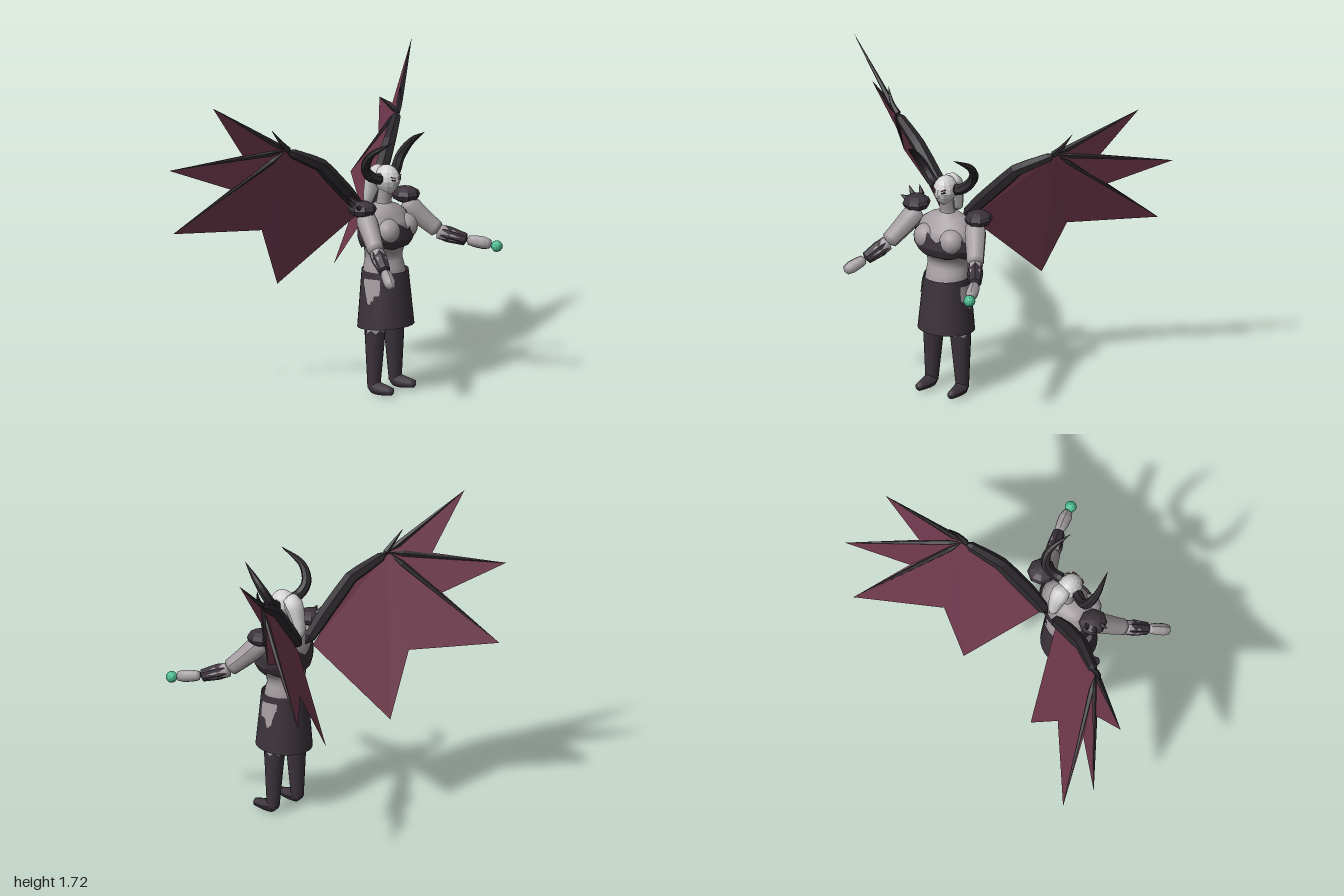
import * as THREE from 'three';
import { ParametricGeometry } from 'three/addons/geometries/ParametricGeometry.js';

const V = (x, y, z) => new THREE.Vector3(x, y, z);
const mat = (name, color, side = THREE.FrontSide) => {
  const m = new THREE.MeshStandardMaterial({ color, side });
  m.name = name;
  return m;
};

// One face, one normal
function flat(g) {
  const f = g.index ? g.toNonIndexed() : g;
  f.computeVertexNormals();
  return f;
}

// Tube through the points with a radius list along its length and closed ends
function limb(points, radii, sides = 8, n = 12, straight = false) {
  let curve = new THREE.CatmullRomCurve3(points);
  if (straight) {
    curve = new THREE.CurvePath();
    for (let i = 1; i < points.length; i++) curve.add(new THREE.LineCurve3(points[i - 1], points[i]));
  }
  const g = new THREE.TubeGeometry(curve, n, 1, sides);
  const p = g.attributes.position, v = V(0, 0, 0);
  for (let i = 0; i <= n; i++) {
    const t = (i / n) * (radii.length - 1), k = Math.min(Math.floor(t), radii.length - 2);
    const r = i === 0 || i === n ? 0.0005 : THREE.MathUtils.lerp(radii[k], radii[k + 1], t - k);
    const c = curve.getPointAt(i / n);
    for (let j = 0; j <= sides; j++) {
      const q = i * (sides + 1) + j;
      v.fromBufferAttribute(p, q).sub(c).multiplyScalar(r).add(c);
      p.setXYZ(q, v.x, v.y, v.z);
    }
  }
  g.computeVertexNormals();
  return g;
}

// Elliptical surface from a profile of [y, rx, rz, centreZ], between two edges that may vary with angle
function wrap(profile, lo, hi, a0 = -Math.PI, a1 = Math.PI, grow = 0, slices = 32) {
  const at = (y) => {
    let k = 0;
    while (k < profile.length - 2 && y > profile[k + 1][0]) k++;
    const [p, q] = [profile[k], profile[k + 1]];
    const t = THREE.MathUtils.clamp((y - p[0]) / (q[0] - p[0]), 0, 1);
    return p.map((e, i) => e + (q[i] - e) * t);
  };
  return new ParametricGeometry((u, v, out) => {
    const a = a0 + (a1 - a0) * u, y = lo(a) + (hi(a) - lo(a)) * v;
    const [, rx, rz, cz] = at(y);
    out.set(Math.sin(a) * (rx + grow), y, cz + Math.cos(a) * (rz + grow));
  }, slices, 14);
}
const zig = (a, n) => Math.abs(((((a / Math.PI) * n) % 2) + 2) % 2 - 1) - 0.5;

export function createModel() {
  const root = new THREE.Group();
  root.name = 'wingedDemon';
  const skin = mat('ashSkin', 0xa49da1, THREE.DoubleSide);
  const pale = mat('paleHair', 0xd2d0d1);
  const cloth = mat('darkCloth', 0x3b333b, THREE.DoubleSide);
  const horn = mat('blackHorn', 0x2c282d);
  const web = mat('wineMembrane', 0x6f394c, THREE.DoubleSide);
  const green = mat('greenGlow', 0x4bbd93);
  const add = (name, geo, m, pos, scale) => {
    const o = new THREE.Mesh(geo, m);
    o.name = name;
    if (pos) o.position.set(...pos);
    if (scale) o.scale.set(...scale);
    root.add(o);
    return o;
  };
  const ball = (r, w = 14, h = 10) => new THREE.SphereGeometry(r, w, h);

  // Torso and bodice
  const body = [[0.62, 0.125, 0.12, 0.18], [0.7, 0.125, 0.11, 0.175], [0.76, 0.115, 0.095, 0.17],
    [0.81, 0.125, 0.1, 0.175], [0.84, 0.155, 0.115, 0.185], [0.88, 0.178, 0.125, 0.19], [0.95, 0.175, 0.12, 0.185],
    [1.02, 0.15, 0.09, 0.17], [1.05, 0.08, 0.06, 0.17], [1.07, 0.03, 0.04, 0.17]];
  add('torso', wrap(body, () => 0.62, () => 1.07), skin);
  add('bodice', wrap(body, (a) => 0.83 + 0.035 * zig(a, 7) * Math.abs(Math.sin(a)),
    (a) => 0.955 + 0.06 * zig(a + 0.4, 6), -Math.PI, Math.PI, 0.013, 56), cloth);
  add('neck', limb([V(0, 1.01, 0.165), V(0, 1.08, 0.175), V(0, 1.16, 0.19)], [0.05, 0.042, 0.042], 10), skin);

  // Skirt with skin-toned side panels
  const skirt = [[0.36, 0.16, 0.158, 0.188], [0.69, 0.128, 0.13, 0.182]];
  add('skirt', wrap(skirt, (a) => 0.372 + 0.012 * Math.cos(a), () => 0.69), cloth);
  for (const s of [-1, 1]) {
    const c = s * Math.PI / 2;
    add('skirtPanel', wrap(skirt, (a) => 0.51 + Math.abs(a - c) * 0.22 + 0.05 * zig(a, 13), () => 0.655,
      c - 0.4, c + 0.4, 0.006, 16), skin);
  }

  // Head, hair and face
  const skull = ball(0.078, 12, 10);
  const sp = skull.attributes.position;
  for (let i = 0; i < sp.count; i++) {
    const y = sp.getY(i), k = y < 0 ? 1 + y * 4.5 : 1;
    sp.setXYZ(i, sp.getX(i) * 0.84 * k, y * 1.1, sp.getZ(i) * (y < 0 ? 1 + y * 2.5 : 1));
  }
  add('head', flat(skull), pale, [0, 1.195, 0.195]);
  add('hair', limb([V(0, 1.25, 0.17), V(0, 1.21, 0.12), V(0, 1.12, 0.085), V(0, 1.03, 0.06)],
    [0.04, 0.055, 0.045, 0.035, 0.02], 8), pale);
  const nose = add('nose', new THREE.ConeGeometry(0.013, 0.05, 5), pale, [0, 1.175, 0.267]);
  nose.rotation.x = 2.2;

  // Wing outline, from the leading tip round to the trailing tip
  const rim = [[0.94, 1.72, -0.31], [0.71, 1.41, -0.275], [0.995, 1.34, -0.565], [0.695, 1.2, -0.36],
    [0.84, 0.935, -0.65], [0.455, 0.925, -0.327], [0.268, 0.577, -0.355], [0.06, 0.98, 0.03], [0.335, 1.3, -0.03]];

  for (const s of [-1, 1]) {
    const P = (x, y, z) => V(s * x, y, z);
    const pre = s > 0 ? 'left' : 'right';

    // Wings
    const wrist = P(0.53, 1.425, -0.11), edge = rim.map((p) => P(...p)), tris = [];
    for (let i = 0; i < edge.length - 1; i++) {
      const [b, c] = s > 0 ? [edge[i + 1], edge[i]] : [edge[i], edge[i + 1]];
      tris.push(wrist, b, c);
    }
    add(pre + 'WingMembrane', flat(new THREE.BufferGeometry().setFromPoints(tris)), web);
    add(pre + 'WingArm', flat(limb([P(0.02, 0.99, 0.05), P(0.16, 1.14, 0.025), P(0.325, 1.315, -0.02), wrist],
      [0.03, 0.042, 0.042, 0.036, 0.024], 6, 14, true)), horn);
    for (const i of [0, 2, 4])
      add(pre + 'WingFinger', flat(limb([wrist, edge[i]], [0.02, 0.011, 0.001], 5, 8, true)), horn);
    add(pre + 'WingClaw', flat(limb([P(0.5, 1.41, -0.1), P(0.56, 1.47, -0.115), P(0.61, 1.55, -0.15)],
      [0.02, 0.012, 0.001], 5, 8)), horn);

    // Horns
    add(pre + 'Horn', flat(limb([P(0.04, 1.205, 0.2), P(0.11, 1.225, 0.175), P(0.162, 1.285, 0.165),
      P(0.186, 1.37, 0.215), P(0.15, 1.455, 0.34)], [0.032, 0.03, 0.026, 0.016, 0.001], 7, 16)), horn);

    // Eyes and brows
    const eye = add(pre + 'Eye', new THREE.BoxGeometry(0.022, 0.008, 0.008), horn, [s * 0.03, 1.205, 0.262]);
    eye.rotation.set(0, s * 0.45, s * 0.25);
    const brow = add(pre + 'Brow', new THREE.BoxGeometry(0.028, 0.005, 0.008), web, [s * 0.032, 1.22, 0.261]);
    brow.rotation.set(0, s * 0.45, s * 0.35);

    // Chest
    add(pre + 'Breast', ball(0.073), skin, [s * 0.083, 0.925, 0.258], [1, 1, 0.95]);

    // Arms: the left hand is raised a little higher than the right
    const L = s > 0;
    const shoulder = P(0.185, 1.04, 0.175), elbow = P(0.285, 0.865, 0.325);
    const cuff = L ? P(0.375, 0.815, 0.465) : P(0.365, 0.785, 0.44);
    const tip = L ? P(0.435, 0.795, 0.595) : P(0.44, 0.725, 0.54);
    const lerp = (a, b, t) => a.clone().lerp(b, t);
    add(pre + 'UpperArm', limb([shoulder, lerp(shoulder, elbow, 0.5), lerp(elbow, cuff, 0.12)],
      [0.05, 0.06, 0.055, 0.05, 0.046], 10), skin);
    add(pre + 'Forearm', limb([elbow, cuff], [0.042, 0.042, 0.03], 9), skin);
    add(pre + 'Bracer', flat(limb([lerp(elbow, cuff, 0.08), lerp(elbow, cuff, 1.04)], [0.04, 0.046, 0.04, 0.034], 7)), cloth);
    add(pre + 'Hand', limb([cuff, lerp(cuff, tip, 0.5), tip], [0.025, 0.034, 0.036, 0.024], 8), skin);

    // Shoulder pads
    add(pre + 'ShoulderPad', flat(ball(0.082, 8, 6)), cloth, [s * 0.205, 1.067, 0.175], [0.95, 0.56, 1]);

    // Legs, boots and feet
    add(pre + 'Thigh', limb([P(0.075, 0.66, 0.18), P(0.085, 0.4, 0.18), P(0.09, 0.29, 0.18)],
      [0.062, 0.066, 0.056, 0.045], 10), skin);
    const boot = new THREE.CylinderGeometry(0.059, 0.036, 0.32, 14, 4, true);
    const bp = boot.attributes.position;
    for (let i = 0; i < bp.count; i++) {
      const t = bp.getY(i) / 0.32 + 0.5;
      if (t > 0.99) bp.setY(i, bp.getY(i) + (i % 2 ? 0.012 : -0.012));
      bp.setX(i, bp.getX(i) + s * 0.012 * (1 - t));
    }
    boot.computeVertexNormals();
    add(pre + 'Boot', boot, cloth, [s * 0.089, 0.195, 0.178]);
    add(pre + 'Foot', limb([P(0.1, 0.055, 0.155), P(0.102, 0.035, 0.2), P(0.106, 0.028, 0.315)],
      [0.03, 0.04, 0.035, 0.028, 0.02], 9), cloth);
  }

  // Spikes on the right shoulder pad
  for (const [x, y, z, tx, ty, tz] of [[-0.24, 1.08, 0.15, -0.285, 1.135, 0.13],
    [-0.25, 1.08, 0.19, -0.295, 1.1, 0.2], [-0.2, 1.09, 0.13, -0.235, 1.14, 0.1]])
    add('shoulderSpike', flat(limb([V(x, y, z), V(tx, ty, tz)], [0.022, 0.001], 5, 6)), cloth);

  // Orb at the left hand
  add('orb', flat(new THREE.IcosahedronGeometry(0.033, 1)), green, [0.444, 0.787, 0.62]);
  return root;
}
